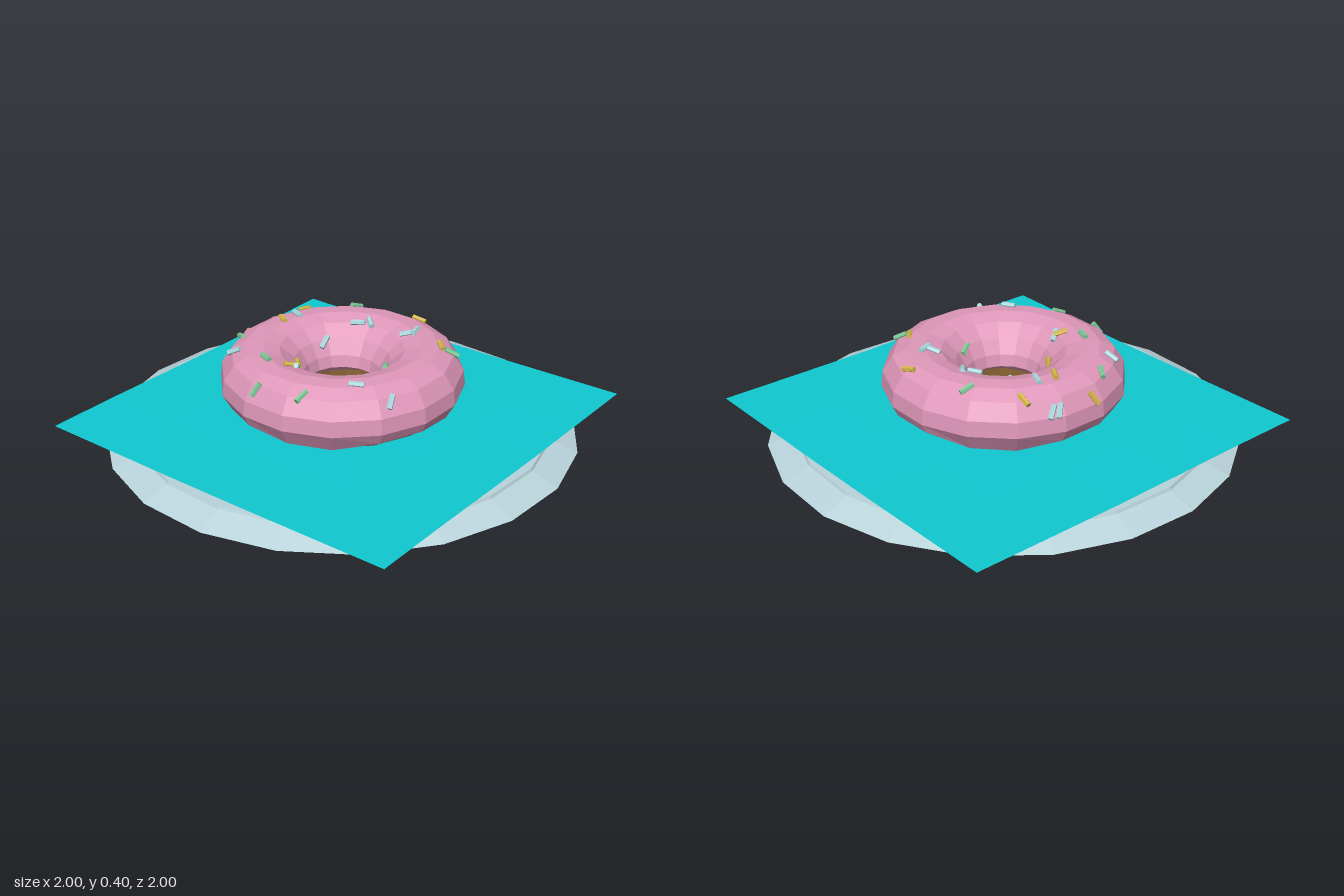
import * as THREE from 'three';

const paint = (name, color, extra = {}) =>
  new THREE.MeshStandardMaterial({ name, color, flatShading: true, ...extra });

export function createModel() {
  const group = new THREE.Group();
  const porcelain = paint('porcelain', 0xb9d3da);
  const teal = paint('teal', 0x10c8d0, { side: THREE.DoubleSide });
  const brown = paint('dough brown', 0xa67a40);
  const pink = paint('pink icing', 0xdf97b9, { side: THREE.DoubleSide });
  const candy = {
    b: paint('pale blue', 0xa9d6dd),
    g: paint('green', 0x7cc795),
    y: paint('yellow', 0xd2b548),
  };

  const add = (name, geometry, material) => {
    const mesh = new THREE.Mesh(geometry, material);
    mesh.name = name;
    group.add(mesh);
    return mesh;
  };
  const lathe = (points, sides) =>
    new THREE.LatheGeometry(points.map(([r, y]) => new THREE.Vector2(r, y)), sides);

  // Shallow plate with a sloping rim
  add('plate', lathe([[0, 0], [0.99, 0], [0.88, 0.045], [0.875, 0.057], [0, 0.057]], 20), porcelain);

  // Slightly rumpled square napkin
  const cloth = new THREE.PlaneGeometry(1.687, 1.687, 5, 5).rotateX(-Math.PI / 2);
  const cp = cloth.attributes.position;
  for (let i = 0; i < cp.count; i++) {
    cp.setY(i, 0.07 + 0.004 * Math.sin(cp.getX(i) * 4 + 1) * Math.cos(cp.getZ(i) * 3));
  }
  cloth.rotateY(0.209);
  cloth.computeVertexNormals();
  add('napkin', cloth, teal);

  // Dough ring, open where the icing covers it
  add('dough', lathe([
    [0.19, 0.27], [0.165, 0.2], [0.19, 0.13], [0.25, 0.088], [0.3, 0.08],
    [0.36, 0.09], [0.43, 0.13], [0.475, 0.185], [0.48, 0.25],
  ], 16), brown);

  // Icing, with an uneven lower edge
  const top = [[0.51, 0.215], [0.503, 0.28], [0.46, 0.345], [0.4, 0.376], [0.33, 0.38],
    [0.26, 0.36], [0.2, 0.31], [0.162, 0.25], [0.15, 0.2]];
  const profile = [[0.43, 0.15], [0.47, 0.15], ...top, [0.17, 0.175]];
  const icing = lathe(profile, 16);
  const edge = [0.17, 0.15, 0.135, 0.14, 0.17, 0.175, 0.14, 0.135, 0.16, 0.17, 0.14, 0.15, 0.165, 0.14, 0.135, 0.165];
  const ip = icing.attributes.position;
  for (let i = 0; i <= 16; i++) {
    const a = (i / 16) * Math.PI * 2, y = edge[i % 16];
    for (const [j, r] of [[0, 0.32 + y * 0.85], [1, 0.36 + y * 0.75]]) {
      ip.setXYZ(i * profile.length + j, r * Math.sin(a), y, r * Math.cos(a));
    }
    ip.setY(i * profile.length + profile.length - 1, 0.15 + y * 0.2);
  }
  icing.computeVertexNormals();
  add('icing', icing, pink);

  // Height and slope of the icing at a given radius
  const surface = (r) => {
    let k = 1;
    while (k < top.length - 2 && r < top[k + 1][0]) k++;
    const [r0, y0] = top[k], [r1, y1] = top[k + 1];
    const slope = (y1 - y0) / (r1 - r0);
    return { y: y0 + slope * (Math.min(r, 0.503) - r0), slope };
  };

  // Sprinkles: colour, x, z, heading in degrees
  const sprinkles = [
    ['y', -0.15, -0.46, -40], ['b', 0.02, -0.485, 50], ['b', 0.05, -0.48, 40], ['y', -0.037, -0.35, 70],
    ['b', 0.043, -0.35, 80], ['y', 0.144, -0.425, -78], ['g', -0.24, -0.37, 70], ['b', -0.35, -0.27, -60],
    ['g', 0.31, -0.27, 0], ['b', 0.055, -0.185, 15], ['y', -0.16, -0.1, 60], ['g', -0.325, -0.09, 82],
    ['y', -0.27, 0, -20], ['b', -0.25, 0.01, 45], ['g', -0.465, 0.03, -20], ['g', -0.39, 0.22, 5],
    ['b', -0.2, 0.325, -50], ['b', -0.13, 0.445, 30], ['g', 0.1, 0.165, 42], ['y', 0.3, 0.27, 60],
    ['g', 0.32, 0.315, -42], ['b', 0.28, 0.09, -48], ['b', 0.31, 0.107, 28], ['y', 0.43, 0, -65],
    ['b', 0.21, -0.145, -50], ['b', 0.247, -0.107, 62],
  ];
  const stick = new THREE.CylinderGeometry(0.012, 0.012, 0.06, 6).rotateZ(Math.PI / 2);
  for (const [c, x, z, deg] of sprinkles) {
    const r = Math.hypot(x, z), step = Math.PI / 8;
    const a = Math.atan2(x, z) + Math.PI * 2;
    const off = (a % step) - step / 2;
    const { y, slope } = surface((r * Math.cos(off)) / Math.cos(step / 2));
    const up = new THREE.Vector3((-slope * x) / r, 1, (-slope * z) / r).normalize();
    const h = THREE.MathUtils.degToRad(deg);
    const dir = new THREE.Vector3(Math.cos(h), 0, -Math.sin(h));
    dir.y = (slope * (dir.x * x + dir.z * z)) / r;
    dir.normalize();
    const mesh = add('sprinkle', stick, candy[c]);
    mesh.quaternion.setFromRotationMatrix(
      new THREE.Matrix4().makeBasis(dir, up, new THREE.Vector3().crossVectors(dir, up)));
    mesh.position.set(x, y, z).addScaledVector(up, 0.005);
  }
  return group;
}
